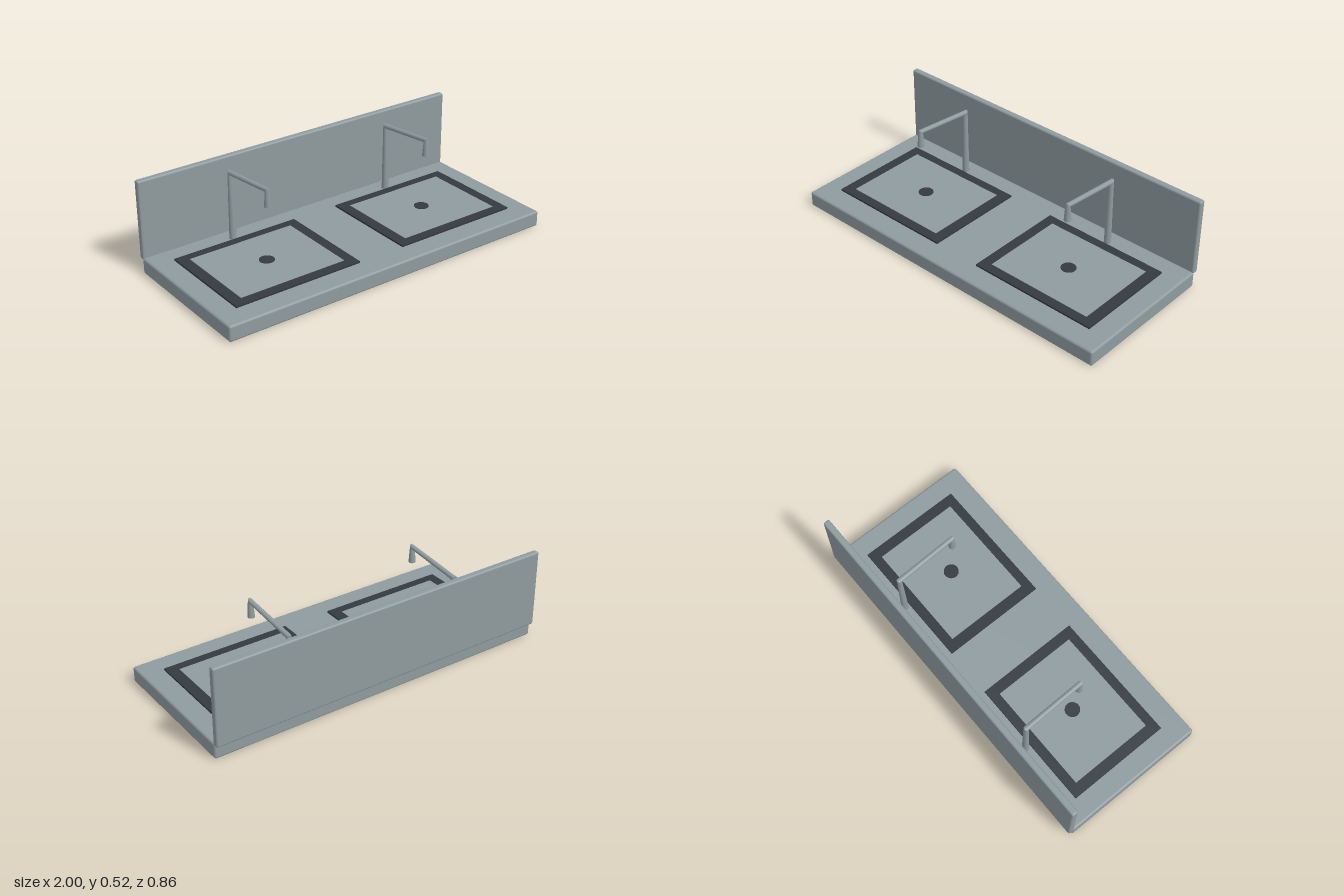
import * as THREE from 'three';
import { RoundedBoxGeometry } from 'three/addons/geometries/RoundedBoxGeometry.js';

const SIDES = 24;

// Tube segment between two mitred rings; a ring is [outerZ, outerY, innerZ, innerY, radiusX].
function segment(start, end, capped) {
  const pos = [], idx = [];
  const addRing = ([oz, oy, iz, iy, r]) => {
    for (let j = 0; j < SIDES; j++) {
      const t = (j / SIDES) * Math.PI * 2, s = Math.sin(t) / 2;
      pos.push(r * Math.cos(t), (oy + iy) / 2 + s * (oy - iy), (oz + iz) / 2 + s * (oz - iz));
    }
  };
  addRing(start);
  addRing(end);
  for (let j = 0; j < SIDES; j++) {
    const k = (j + 1) % SIDES;
    idx.push(j, k, j + SIDES, k, k + SIDES, j + SIDES);
  }
  // Flat cap on separate vertices keeps the edge sharp
  if (capped) {
    addRing(end);
    const base = SIDES * 2;
    for (let j = 1; j < SIDES - 1; j++) idx.push(base, base + j, base + j + 1);
  }
  const geo = new THREE.BufferGeometry();
  geo.setAttribute('position', new THREE.Float32BufferAttribute(pos, 3));
  geo.setIndex(idx);
  geo.computeVertexNormals();
  return geo;
}

// Rectangular frame lying flat, with its bottom at y = 0
function frameGeometry(w, d, innerW, innerD, height) {
  const rect = (path, a, b) => path.moveTo(-a / 2, -b / 2).lineTo(a / 2, -b / 2)
    .lineTo(a / 2, b / 2).lineTo(-a / 2, b / 2).closePath();
  const shape = new THREE.Shape();
  rect(shape, w, d);
  const hole = new THREE.Path();
  rect(hole, innerW, innerD);
  shape.holes.push(hole);
  return new THREE.ExtrudeGeometry(shape, { depth: height, bevelEnabled: false }).rotateX(-Math.PI / 2);
}

export function createModel() {
  const model = new THREE.Group();
  model.name = 'doubleWashstand';

  const stone = new THREE.MeshStandardMaterial({ color: 0x8f9b9f });
  stone.name = 'greyStone';
  const dark = new THREE.MeshStandardMaterial({ color: 0x343a40 });
  dark.name = 'darkTrim';

  const add = (parent, name, geo, mat, x = 0, y = 0, z = 0) => {
    const mesh = new THREE.Mesh(geo, mat);
    mesh.name = name;
    mesh.position.set(x, y, z);
    parent.add(mesh);
  };

  // Counter slab and upright splashback
  add(model, 'counter', new RoundedBoxGeometry(2, 0.089, 0.833, 3, 0.012), stone, 0, 0.0445, 0.0135);
  add(model, 'splashback', new RoundedBoxGeometry(2, 0.443, 0.037, 3, 0.01), stone, 0, 0.3015, -0.41);

  // Shared basin and tap geometry
  const rim = frameGeometry(0.743, 0.588, 0.62, 0.48, 0.011);
  const panel = new THREE.BoxGeometry(0.622, 0.014, 0.482);
  const drain = new THREE.CylinderGeometry(0.041, 0.041, 0.016, 24);
  const foot = [-0.329, 0.085, -0.29, 0.085, 0.0195];
  const elbow = [-0.324, 0.481, -0.297, 0.457, 0.0145];
  const bend = [0.048, 0.516, 0.024, 0.489, 0.0135];
  const mouth = [0.055, 0.413, 0.016, 0.413, 0.0195];
  const post = segment(foot, elbow);
  const arm = segment(elbow, bend);
  const spout = segment(bend, mouth, true);

  for (const side of [-1, 1]) {
    const label = side > 0 ? 'left' : 'right';

    const basin = new THREE.Group();
    basin.name = label + 'Basin';
    basin.position.set(side * 0.511, 0, 0.012);
    add(basin, 'rim', rim, dark, 0, 0.088);
    add(basin, 'panel', panel, stone, 0, 0.094);
    add(basin, 'drain', drain, dark, 0, 0.096);

    const tap = new THREE.Group();
    tap.name = label + 'Tap';
    tap.position.x = side * 0.511;
    add(tap, 'post', post, stone);
    add(tap, 'arm', arm, stone);
    add(tap, 'spout', spout, stone);

    model.add(basin, tap);
  }
  return model;
}
